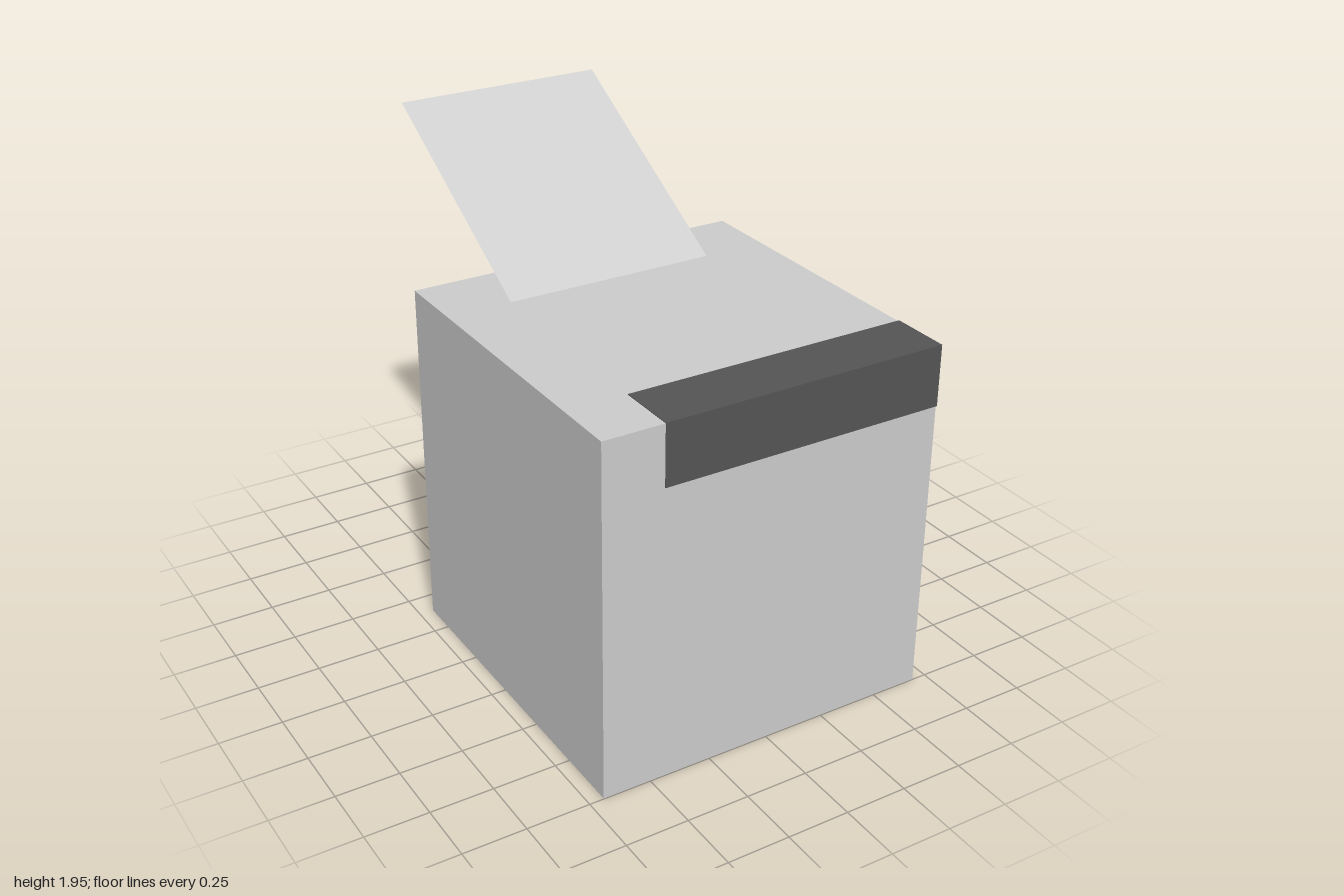
import * as THREE from 'three';

export function createModel() {
  const model = new THREE.Group();
  const lightGrey = new THREE.MeshStandardMaterial({ color: 0xcccccc, side: THREE.DoubleSide });
  lightGrey.name = 'light grey';
  const darkGrey = new THREE.MeshStandardMaterial({ color: 0x555555 });
  darkGrey.name = 'dark grey';

  // Box spanning two opposite corners
  function addBox(name, min, max, material) {
    const size = max.map((v, i) => v - min[i]);
    const mesh = new THREE.Mesh(new THREE.BoxGeometry(...size), material);
    mesh.position.set(...max.map((v, i) => (v + min[i]) / 2));
    mesh.name = name;
    model.add(mesh);
  }

  // Main block
  const right = 0.692, top = 1.43, front = 0.998, t = 0.003;
  addBox('body', [-right, 0, -0.39], [right, top, front], lightGrey);

  // Dark band wrapped around the upper front edge and the left corner
  const x0 = -0.45, y0 = 1.19, z0 = 0.76;
  addBox('bandFront', [x0, y0, front], [right + t, top + t, front + t], darkGrey);
  addBox('bandTop', [x0, top, z0], [right + t, top + t, front], darkGrey);
  addBox('bandSide', [right, y0, z0], [right + t, top, front], darkGrey);

  // Thin sheet leaning backwards out of the top
  const rise = 0.52, run = 0.89;
  const sheet = new THREE.Mesh(new THREE.PlaneGeometry(0.865, Math.hypot(rise, run)), lightGrey);
  sheet.rotation.x = -Math.atan2(run, rise);
  sheet.position.set(0, top + rise / 2, -0.11 - run / 2);
  sheet.name = 'tiltedSheet';
  model.add(sheet);

  return model;
}
